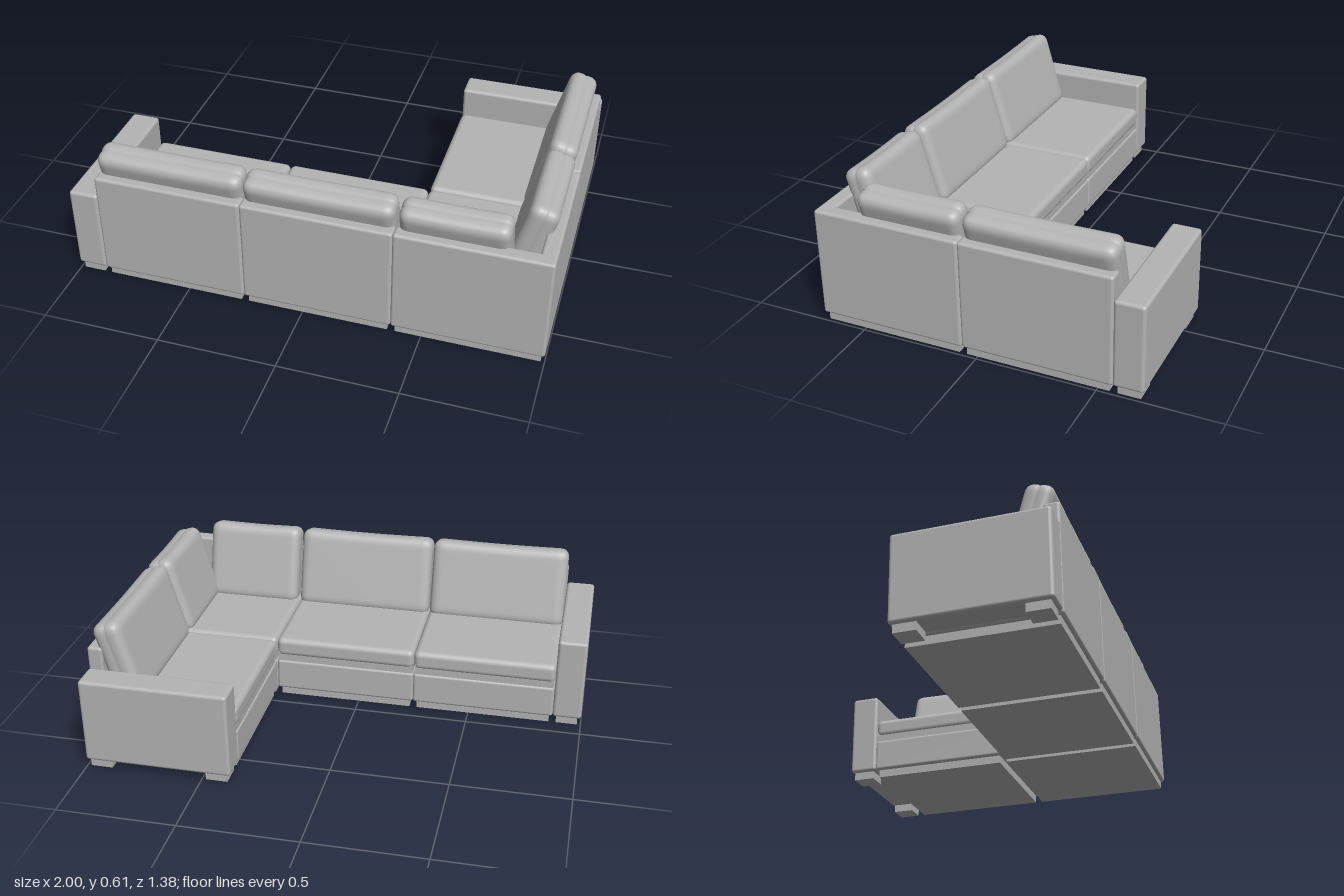
import * as THREE from 'three';
import { mergeVertices } from 'three/addons/utils/BufferGeometryUtils.js';
import { RoundedBoxGeometry } from 'three/addons/geometries/RoundedBoxGeometry.js';

const fabric = new THREE.MeshStandardMaterial({ color: 0xb4b4b4 });
fabric.name = 'grey fabric';

const W = 0.625;       // module width and depth
const ARM = 0.125;     // armrest thickness
const PLINTH = 0.035;  // height of the plinths and feet
const BACK = 0.065;    // back panel thickness

function add(parent, name, geometry, x, y, z) {
  const mesh = new THREE.Mesh(geometry, fabric);
  mesh.name = name;
  mesh.position.set(x, y, z);
  parent.add(mesh);
  return mesh;
}

function addGroup(parent, name, x, z, turn) {
  const group = new THREE.Group();
  group.name = name;
  group.position.set(x, 0, z);
  group.rotation.y = turn;
  parent.add(group);
  return group;
}

// Box given by its limits, softly rounded when r > 0
function block(parent, name, [x0, x1], [y0, y1], [z0, z1], r = 0.012) {
  const size = [x1 - x0, y1 - y0, z1 - z0];
  const geometry = r ? new RoundedBoxGeometry(...size, 3, r) : new THREE.BoxGeometry(...size);
  return add(parent, name, geometry, (x0 + x1) / 2, (y0 + y1) / 2, (z0 + z1) / 2);
}

// Soft cushion: rounded box with a pinched seam round the rim and a slightly sagging top
function cushionGeometry(w, h, d, r) {
  let g = new THREE.BoxGeometry(w, h, d, 40, 24, 16);
  g.deleteAttribute('uv');
  g.deleteAttribute('normal');
  g = mergeVertices(g);
  const p = g.attributes.position;
  const v = new THREE.Vector3(), inner = new THREE.Vector3();
  const max = new THREE.Vector3(w / 2 - r, h / 2 - r, d / 2 - r);
  const min = max.clone().negate();
  for (let i = 0; i < p.count; i++) {
    v.fromBufferAttribute(p, i);
    const onSeam = Math.abs(v.z) < 1e-4;
    inner.copy(v).clamp(min, max);
    v.sub(inner).setLength(r).add(inner);
    if (onSeam) {
      v.x *= 1 - 0.006 / w;
      v.y *= 1 - 0.006 / h;
    }
    if (v.y > 0) v.y -= 0.004 * Math.cos((v.x / w) * Math.PI) * v.y / (h / 2);
    p.setXYZ(i, v.x, v.y, v.z);
  }
  g.computeVertexNormals();
  return g;
}

// Leaning back cushion, sunk a little into the seat; the back is towards local +z
function backCushion(parent, x, w) {
  const mesh = add(parent, 'backCushion', cushionGeometry(w, 0.36, 0.122, 0.038), x, 0.429, 0.189);
  mesh.rotation.x = 0.28;
}

// One seat module with its back towards local +z
function seatModule(parent, name, x, z, turn, corner = false) {
  const m = addGroup(parent, name, x, z, turn);
  const h = W / 2, inner = h - BACK, right = corner ? inner : h;
  block(m, 'plinth', [-h + 0.016, h - 0.016], [0, PLINTH + 0.005], [-h + 0.016, h - 0.016], 0);
  block(m, 'base', [-h, right], [PLINTH, 0.178], [-h, inner + 0.01]);
  block(m, 'seatRail', [-h + 0.006, right - 0.006], [0.165, 0.225], [-h + 0.006, inner], 0);
  block(m, 'seatCushion', [-h, right], [0.2, 0.285], [-h, inner], 0.025);
  block(m, 'backPanel', [-h, h], [PLINTH, 0.5], [inner, h]);
  if (corner) block(m, 'sideBackPanel', [inner, h], [PLINTH, 0.5], [-h, h]);
  return m;
}

// Armrest standing on two feet, long side along local z
function armrest(parent, name, x, z, turn) {
  const a = addGroup(parent, name, x, z, turn);
  block(a, 'armPanel', [-ARM / 2, ARM / 2], [PLINTH, 0.408], [-W / 2, W / 2], 0.014);
  for (const s of [-1, 1]) {
    const foot = new THREE.BoxGeometry(0.093, PLINTH + 0.005, 0.093);
    add(a, 'armFoot', foot, 0, (PLINTH + 0.005) / 2, s * 0.25);
  }
}

export function createModel() {
  const sofa = new THREE.Group();
  sofa.name = 'cornerSofa';

  // Long run with its back at +z
  for (const [i, x] of [-0.5625, 0.0625].entries()) {
    backCushion(seatModule(sofa, 'seatModule' + (i + 1), x, 0.375, 0), 0, 0.62);
  }

  // Corner module with two backs and two shorter cushions
  const corner = seatModule(sofa, 'cornerModule', 0.6875, 0.375, 0, true);
  backCushion(corner, -0.083, 0.435);
  const side = addGroup(corner, 'cornerSideCushion', 0, 0, Math.PI / 2);
  backCushion(side, 0.083, 0.44);

  // Short return with its back at +x
  backCushion(seatModule(sofa, 'returnModule', 0.6875, -0.25, Math.PI / 2), 0, 0.62);

  // Armrests at the two ends
  armrest(sofa, 'longRunArmrest', -0.9375, 0.375, 0);
  armrest(sofa, 'returnArmrest', 0.6875, -0.625, Math.PI / 2);

  return sofa;
}
